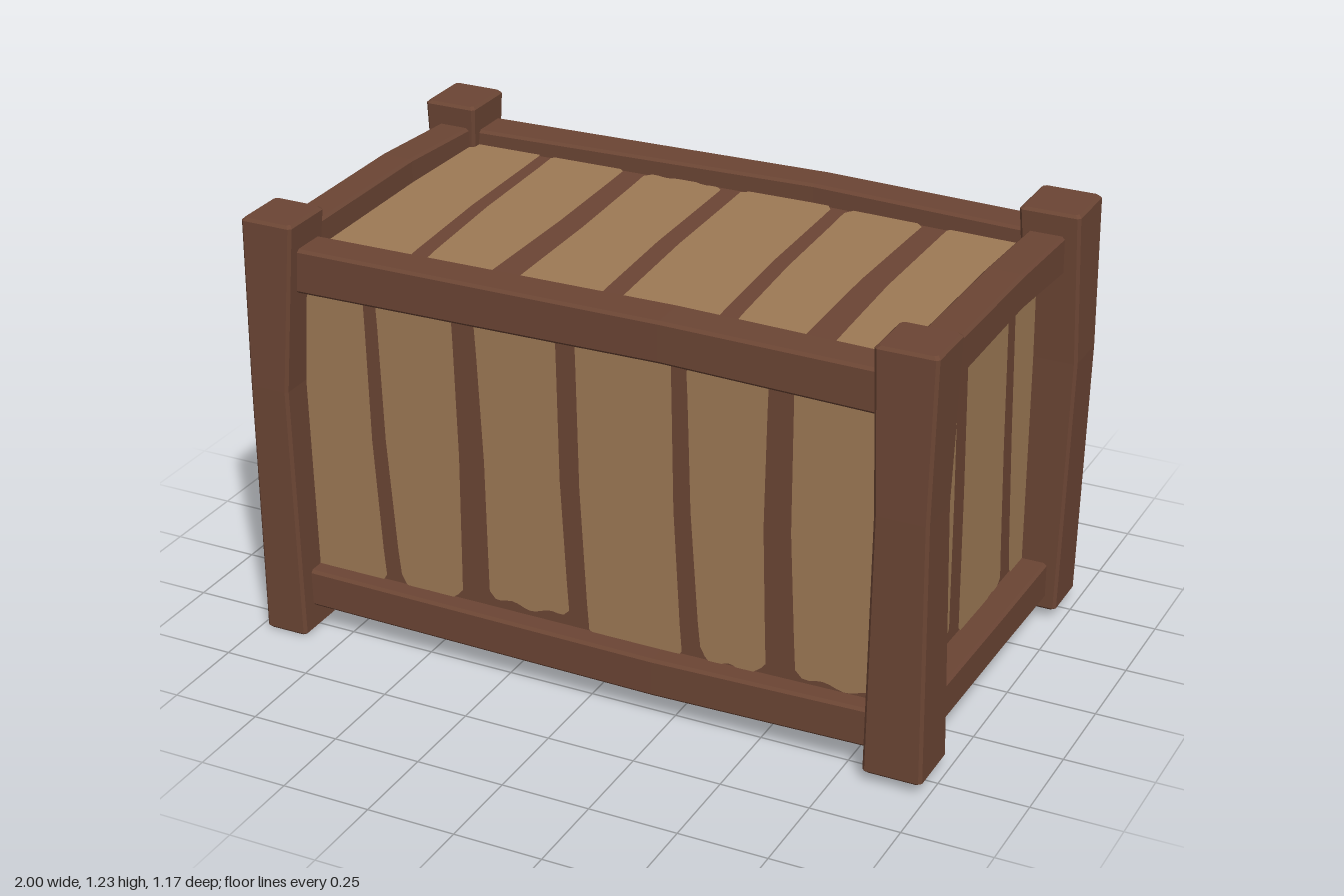
import * as THREE from 'three';

const wood = new THREE.MeshStandardMaterial({ color: 0x6b4534 });
wood.name = 'dark brown timber';
const tan = new THREE.MeshStandardMaterial({ color: 0x9d7955 });
tan.name = 'tan plank';

// Bevelled timber along axis k (0 x, 1 y, 2 z).
// Each station is [position, a0, a1, b0, b1], with a and b the next two axes in cyclic order.
function timber(name, k, stations, c = 0.008) {
  const first = stations[0], last = stations[stations.length - 1];
  const inset = (s, t) => [t, s[1] + c, s[2] - c, s[3] + c, s[4] - c];
  const rows = [
    inset(first, first[0]), [first[0] + c, ...first.slice(1)],
    ...stations.slice(1, -1),
    [last[0] - c, ...last.slice(1)], inset(last, last[0]),
  ];
  const rings = rows.map(([t, a0, a1, b0, b1]) => [
    [a0 + c, b0], [a1 - c, b0], [a1, b0 + c], [a1, b1 - c],
    [a1 - c, b1], [a0 + c, b1], [a0, b1 - c], [a0, b0 + c],
  ].map(([a, b]) => {
    const p = [0, 0, 0];
    p[k] = t; p[(k + 1) % 3] = a; p[(k + 2) % 3] = b;
    return p;
  }));
  const pos = [];
  const tri = (...ps) => ps.forEach((p) => pos.push(...p));
  for (let r = 0; r < rings.length - 1; r++) {
    const L = rings[r], U = rings[r + 1];
    for (let i = 0; i < 8; i++) {
      const j = (i + 1) % 8;
      tri(L[i], L[j], U[j]);
      tri(L[i], U[j], U[i]);
    }
  }
  const A = rings[0], Z = rings[rings.length - 1];
  for (let i = 1; i < 7; i++) {
    tri(A[0], A[i + 1], A[i]);
    tri(Z[0], Z[i], Z[i + 1]);
  }
  const g = new THREE.BufferGeometry();
  g.setAttribute('position', new THREE.Float32BufferAttribute(pos, 3));
  g.computeVertexNormals();
  const m = new THREE.Mesh(g, wood);
  m.name = name;
  return m;
}

// Gap position at height t (0 bottom, 1 top); a gap is [top, middle, bottom, half width top, half width bottom]
function gapEdge([top, mid, bot, ht, hb], t, side) {
  const c = t > 0.5 ? mid + (top - mid) * (t - 0.5) * 2 : bot + (mid - bot) * t * 2;
  return c + side * (hb + (ht - hb) * t);
}

// One panel of painted planks lying in the local xy plane, between neighbouring gaps
function panel(name, gaps, ends, shift = 0) {
  const group = new THREE.Group();
  group.name = name;
  ends.forEach(([lo, hi], i) => {
    const left = (t) => gapEdge(gaps[i], t, 1) + (i > 0 ? shift : 0);
    const right = (t) => gapEdge(gaps[i + 1], t, -1) + (i < ends.length - 1 ? shift : 0);
    const N = 14, pts = [];
    // ragged ends with rounded corners
    const ragged = (s) => 0.03 * Math.pow(Math.abs(2 * s - 1), 7) + 0.008 * Math.sin(s * 13 + i * 2.1);
    for (let j = 0; j <= N; j++) {
      const s = j / N;
      pts.push(new THREE.Vector2(left(0) + (right(0) - left(0)) * s, lo + ragged(s)));
    }
    for (let j = 1; j < 8; j++) pts.push(new THREE.Vector2(right(j / 8), lo + (hi - lo) * j / 8));
    for (let j = N; j >= 0; j--) {
      const s = j / N;
      pts.push(new THREE.Vector2(left(1) + (right(1) - left(1)) * s, hi - ragged(s)));
    }
    for (let j = 7; j > 0; j--) pts.push(new THREE.Vector2(left(j / 8), lo + (hi - lo) * j / 8));
    const plank = new THREE.Mesh(new THREE.ShapeGeometry(new THREE.Shape(pts)), tan);
    plank.name = 'plank';
    group.add(plank);
  });
  return group;
}

export function createModel() {
  const model = new THREE.Group();
  model.name = 'crate';

  // Solid body behind the planks
  const x0 = -0.888, x1 = 0.872, y0 = 0.122, y1 = 1.108, z0 = -0.51, z1 = 0.48;
  const core = new THREE.Mesh(new THREE.BoxGeometry(x1 - x0, y1 - y0, z1 - z0), wood);
  core.position.set((x0 + x1) / 2, (y0 + y1) / 2, (z0 + z1) / 2);
  core.name = 'body';
  model.add(core);

  // Corner posts: [y, z0, z1, x0, x1]
  model.add(
    timber('frontRightPost', 1, [[0.003, 0.425, 0.583, -0.98, -0.853], [0.75, 0.435, 0.58, -0.987, -0.87], [1.232, 0.4, 0.568, -0.992, -0.838]]),
    timber('frontLeftPost', 1, [[0.032, 0.41, 0.582, 0.82, 0.985], [0.78, 0.433, 0.58, 0.829, 0.977], [1.232, 0.4, 0.568, 0.812, 0.982]]),
    timber('backLeftPost', 1, [[0.032, -0.573, -0.418, 0.838, 0.982], [0.8, -0.569, -0.42, 0.848, 1.0], [1.234, -0.585, -0.405, 0.818, 0.99]]),
    timber('backRightPost', 1, [[0.03, -0.573, -0.39, -1.0, -0.85], [0.75, -0.568, -0.428, -0.987, -0.86], [1.234, -0.578, -0.403, -0.996, -0.838]]),
  );

  // Long rails: [x, y0, y1, z0, z1]
  model.add(
    timber('frontTopRail', 0, [[-0.9, 1.026, 1.154, 0.423, 0.533], [0.22, 1.046, 1.164, 0.423, 0.541], [0.88, 1.027, 1.152, 0.423, 0.533]]),
    timber('frontBottomRail', 0, [[-0.9, 0.077, 0.188, 0.423, 0.533], [0.2, 0.072, 0.184, 0.423, 0.544], [0.88, 0.077, 0.191, 0.423, 0.533]]),
    timber('backTopRail', 0, [[-0.9, 1.03, 1.154, -0.557, -0.438], [0.2, 1.045, 1.166, -0.567, -0.459], [0.9, 1.03, 1.157, -0.555, -0.438]]),
    timber('backBottomRail', 0, [[-0.9, 0.077, 0.188, -0.552, -0.438], [0.2, 0.07, 0.183, -0.562, -0.448], [0.9, 0.073, 0.185, -0.552, -0.438]]),
  );

  // Short rails: [z, y bottom, y top]; the right ones bow slightly outwards
  const topLine = [[-0.46, 1.053, 1.167], [-0.1, 1.08, 1.182], [0.47, 1.07, 1.185]];
  const bottomLine = [[-0.46, 0.067, 0.178], [-0.1, 0.078, 0.185], [0.47, 0.09, 0.202]];
  for (const [side, inner, outer, bow] of [['left', 0.844, 0.95, 0], ['right', -0.955, -0.857, 0.009]]) {
    const line = (rows) => rows.map(([z, low, high], i) => {
      const dx = i === 1 ? -bow : 0;
      return [z, inner + dx, outer + dx, low, high];
    });
    model.add(timber(side + 'TopRail', 2, line(topLine)), timber(side + 'BottomRail', 2, line(bottomLine)));
  }

  // Plank patterns
  const longGaps = [
    [-0.88, -0.88, -0.88, 0, 0],
    [-0.66, -0.648, -0.618, 0.019, 0.024],
    [-0.377, -0.362, -0.36, 0.034, 0.042],
    [-0.075, -0.068, -0.045, 0.028, 0.03],
    [0.25, 0.26, 0.287, 0.022, 0.027],
    [0.535, 0.53, 0.545, 0.035, 0.042],
    [0.81, 0.825, 0.86, 0, 0],
  ];
  const sideGaps = [
    [-0.47, -0.47, -0.47, 0, 0],
    [-0.425, -0.4, -0.383, 0.016, 0.018],
    [-0.118, -0.105, -0.1, 0.034, 0.036],
    [0.23, 0.25, 0.28, 0.024, 0.034],
    [0.47, 0.47, 0.47, 0, 0],
  ];
  const longEnds = [[0.17, 1.05], [0.18, 1.06], [0.21, 1.035], [0.16, 1.06], [0.185, 1.05], [0.2, 1.04]];
  const topEnds = [[-0.41, 0.47], [-0.395, 0.47], [-0.4, 0.452], [-0.4, 0.47], [-0.41, 0.465], [-0.4, 0.46]];
  const bottomEnds = topEnds.map(([lo, hi]) => [-hi, -lo]);
  const sideEnds = [[0.17, 1.06], [0.205, 1.032], [0.18, 1.047], [0.165, 1.08]];

  const place = (p, pos, rx, ry) => {
    p.position.set(...pos);
    p.rotation.set(rx, ry, 0);
    model.add(p);
  };
  const q = Math.PI / 2, lift = 0.004;
  place(panel('frontPlanks', longGaps, longEnds), [0, 0, z1 + lift], 0, 0);
  place(panel('backPlanks', longGaps, longEnds, 0.065), [0, 0, z0 - lift], 0, Math.PI);
  place(panel('topPlanks', longGaps, topEnds, 0.035), [0, y1 + lift, 0], -q, 0);
  place(panel('bottomPlanks', longGaps, bottomEnds, 0.035), [0, y0 - lift, 0], q, 0);
  place(panel('leftPlanks', sideGaps, sideEnds), [x1 + lift, 0, 0], 0, q);
  place(panel('rightPlanks', sideGaps, sideEnds, 0.06), [x0 - lift, 0, 0], 0, -q);
  return model;
}
